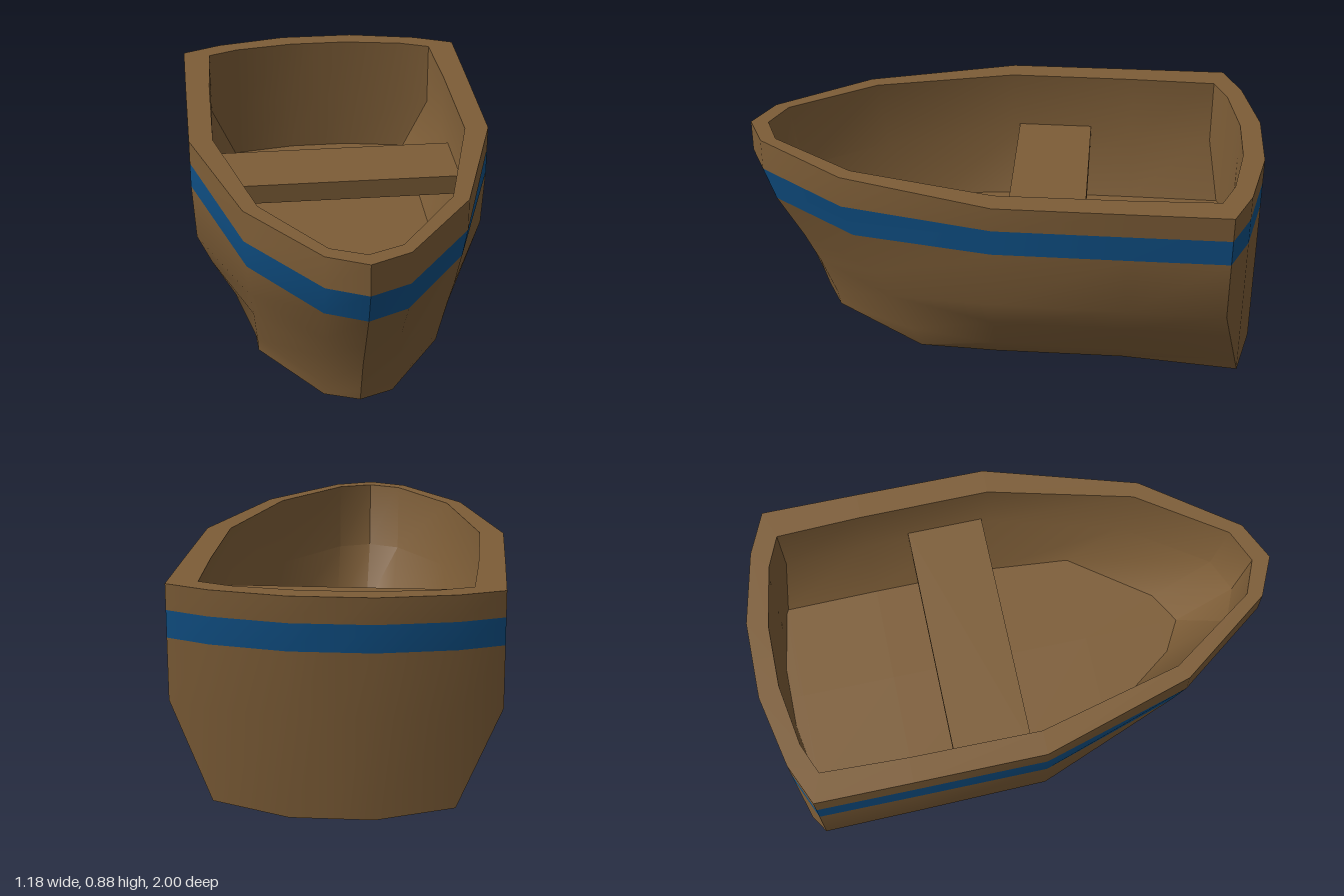
import * as THREE from 'three';
import { toCreasedNormals } from 'three/addons/utils/BufferGeometryUtils.js';

// Completes a half outline by mirroring it across x = 0
const mirror = (half) => [...half, ...half.slice(0, -1).reverse().map(([x, y, z]) => [-x, y, z])];

// Joins successive outlines with quads, skipping collapsed triangles
function loft(rows, out = []) {
  const tri = (...corners) => {
    const [a, b, c] = corners.map((p) => new THREE.Vector3(...p));
    if (new THREE.Triangle(a, b, c).getArea() > 1e-6) out.push(...a, ...b, ...c);
  };
  for (let j = 0; j < rows.length - 1; j++) {
    for (let i = 0; i < rows[j].length - 1; i++) {
      const a = rows[j][i], b = rows[j][i + 1], c = rows[j + 1][i + 1], d = rows[j + 1][i];
      tri(a, b, c);
      tri(a, c, d);
    }
  }
  return out;
}

function shell(name, positions, material, crease = 0.75) {
  const geometry = new THREE.BufferGeometry();
  geometry.setAttribute('position', new THREE.Float32BufferAttribute(positions, 3));
  const mesh = new THREE.Mesh(toCreasedNormals(geometry, crease), material);
  mesh.name = name;
  return mesh;
}

export function createModel() {
  const wood = new THREE.MeshStandardMaterial({ color: 0x7d5d37 });
  wood.name = 'brown wood';
  const blue = new THREE.MeshStandardMaterial({ color: 0x0f4f84 });
  blue.name = 'blue paint';

  // Stations run from the middle of the stern to the bow
  const plan = [[0, -1], [0.15, -1], [0.43, -0.94], [0.59, -0.87], [0.59, -0.5], [0.588, 0], [0.41, 0.58], [0.15, 0.93], [0, 1]];
  const ring = (outline, height) => outline.map(([x, z], i) => [x, typeof height === 'number' ? height : height[i], z]);
  const withBow = (bow) => [...plan.slice(0, 9 - bow.length), ...bow];

  const rim = ring(plan, 0.885);
  const stripeTop = ring(plan, [0.79, 0.79, 0.79, 0.79, 0.79, 0.79, 0.76, 0.76, 0.76]);
  const stripeBottom = ring(withBow([[0.40, 0.54], [0.15, 0.885], [0, 0.955]]),
    [0.69, 0.69, 0.69, 0.69, 0.69, 0.69, 0.63, 0.63, 0.63]);
  const chine = ring(withBow([[0.585, -0.5], [0.575, 0], [0.39, 0.46], [0.14, 0.79], [0, 0.865]]), 0.46);

  // Lower hull outlines, from the stern corner to the bow
  const lower = [
    chine.slice(3),
    [[0.535, 0.34, -0.894], [0.525, 0.34, -0.5], [0.52, 0.34, 0], [0.375, 0.34, 0.41], [0.14, 0.34, 0.73], [0, 0.34, 0.8]],
    [[0.462, 0.18, -0.926], [0.435, 0.18, -0.5], [0.43, 0.18, 0], [0.36, 0.18, 0.34], [0.13, 0.18, 0.67], [0, 0.19, 0.745]],
    [[0.43, 0.11, -0.94], [0.37, 0.1, -0.5], [0.37, 0.1, 0], [0.355, 0.1, 0.3], [0.13, 0.125, 0.66], [0, 0.14, 0.73]],
    [[0.15, 0.08, -1], [0.13, 0.015, -0.5], [0.13, 0.015, 0], [0.13, 0.015, 0.2], [0.12, 0.088, 0.53], [0, 0.085, 0.55]],
    [[0, 0.08, -1], [0, 0, -0.5], [0, 0, 0], [0, 0, 0.2], [0, 0.085, 0.55], [0, 0.085, 0.55]],
  ];

  // Lower transom, from the side corner to the middle
  const transomTop = [3, 2, 1, 0].map((i) => [-plan[i][0], 0.46, plan[i][1]]);
  const transomBottom = transomTop.map(([x, , z], i) => [x, [0.46, 0.11, 0.08, 0.08][i], z]);

  const hull = loft([rim, stripeTop].map(mirror));
  loft([stripeBottom, chine].map(mirror), hull);
  loft(lower.map(mirror), hull);
  loft([transomTop, transomBottom].map(mirror), hull);

  // Inside: floor, sloping lower walls, upright upper walls and gunwale
  const floor = ring([[0, -0.92], [0.12, -0.92], [0.36, -0.88], [0.38, -0.87], [0.385, -0.5], [0.385, -0.03],
    [0.355, 0.3], [0.125, 0.61], [0, 0.68]], 0.385);
  const wall = ring([[0, -0.92], [0.12, -0.92], [0.36, -0.88], [0.48, -0.83], [0.488, -0.5], [0.49, 0],
    [0.35, 0.51], [0.13, 0.83], [0, 0.885]], 0.62);
  const innerRim = ring([[0, -0.92], [0.12, -0.92], [0.36, -0.88], [0.48, -0.83], [0.492, -0.5], [0.495, 0],
    [0.355, 0.55], [0.13, 0.875], [0, 0.93]], 0.885);
  const keelLine = floor.map(([, y, z]) => [0, y, z]);

  const seat = new THREE.Mesh(new THREE.BoxGeometry(0.99, 0.08, 0.3), wood);
  seat.name = 'seat';
  seat.position.set(0, 0.62, -0.18);

  const boat = new THREE.Group();
  boat.name = 'rowing boat';
  boat.add(
    shell('hull', hull, wood),
    shell('stripe', loft([stripeTop, stripeBottom].map(mirror)), blue),
    shell('floor', loft([keelLine, floor].map(mirror)), wood),
    shell('innerWalls', loft([floor, wall, innerRim].map(mirror)), wood),
    shell('gunwale', loft([innerRim, rim].map(mirror)), wood),
    seat,
  );
  return boat;
}
